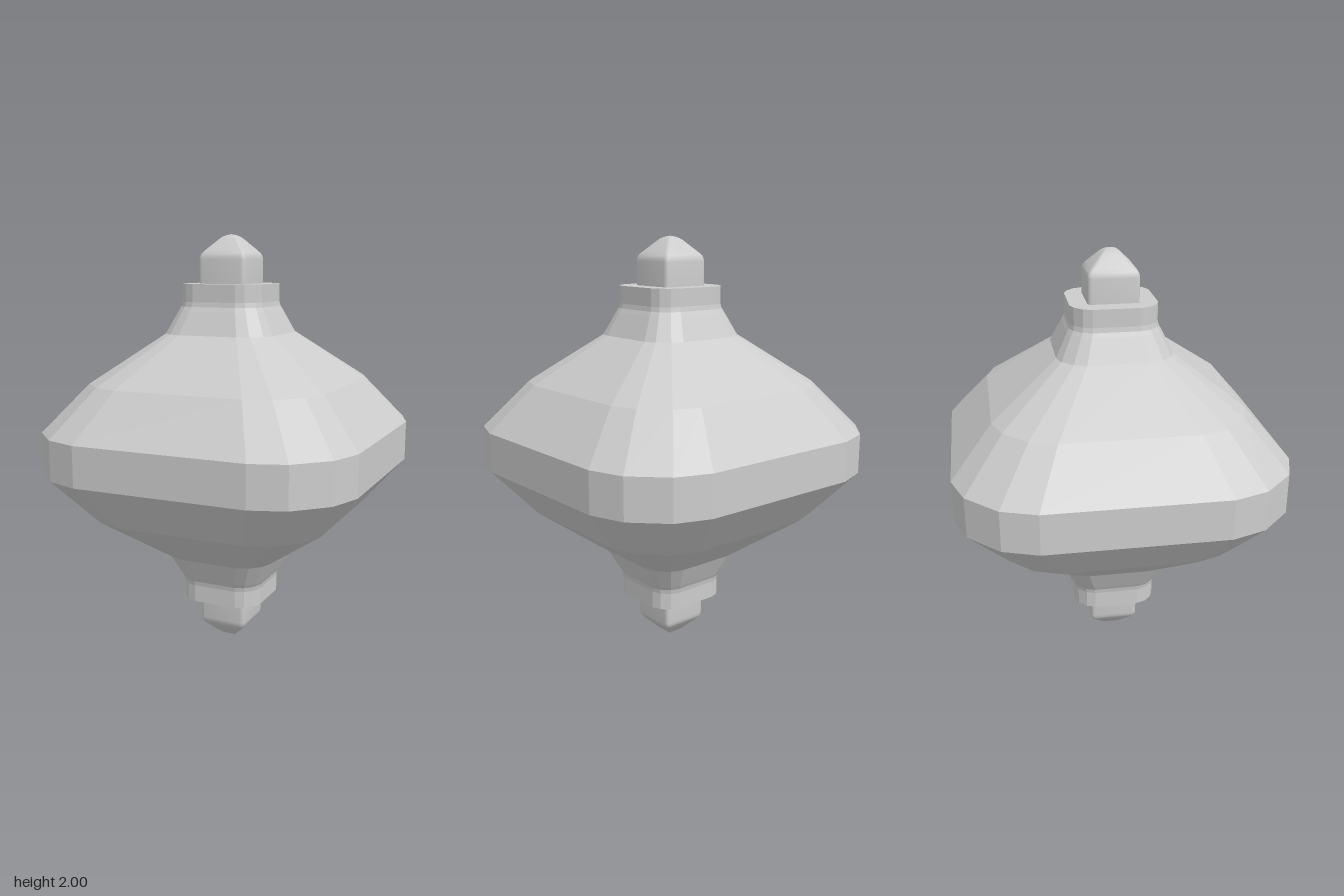
import * as THREE from 'three';
import { toCreasedNormals } from 'three/addons/utils/BufferGeometryUtils.js';

// Repeat one corner outline around the four sides of a unit square
function squareSection(corner) {
  const pts = [];
  for (let k = 0; k < 4; k++) {
    const c = [1, 0, -1, 0][k], s = [0, 1, 0, -1][k];
    for (const [x, z] of corner) pts.push([x * c - z * s, x * s + z * c]);
  }
  return pts;
}

// Stack scaled copies of a section along a profile of [half width, y], bottom to top
function loft(section, profile) {
  const pos = [], n = section.length;
  const point = (j, i) => {
    const [r, y] = profile[j], [x, z] = section[i % n];
    return [x * r, y, z * r];
  };
  for (let j = 0; j < profile.length - 1; j++) {
    for (let i = 0; i < n; i++) {
      const a = point(j, i), b = point(j + 1, i), c = point(j, i + 1), d = point(j + 1, i + 1);
      if (profile[j][0] > 0) pos.push(...a, ...b, ...c);
      if (profile[j + 1][0] > 0) pos.push(...c, ...b, ...d);
    }
  }
  const g = new THREE.BufferGeometry();
  g.setAttribute('position', new THREE.Float32BufferAttribute(pos, 3));
  g.computeVertexNormals();
  return g;
}

export function createModel() {
  const group = new THREE.Group();
  const grey = new THREE.MeshStandardMaterial({ color: 0xcccccc });
  grey.name = 'light grey';
  const add = (name, geometry) => {
    const mesh = new THREE.Mesh(geometry, grey);
    mesh.name = name;
    group.add(mesh);
    return mesh;
  };

  // Faceted body with necks and collars, mirrored about mid height
  const bodySection = squareSection([[1, 0.536], [0.928, 0.745], [0.745, 0.928], [0.536, 1]]);
  const upper = [
    [0.765, 0.095], [0.575, 0.316], [0.268, 0.542],
    [0.215, 0.648], [0.204, 0.668], [0.2, 0.69], [0.2, 0.772], [0, 0.772],
  ];
  const lower = upper.map(([r, y]) => [r, -y]).reverse();
  const profile = [...lower, ...upper].map(([r, y]) => [r, y + 1.001]);
  add('body', loft(bodySection, profile));

  // Square finials with softened pyramid tips
  const corner = [];
  for (let i = 0; i <= 4; i++) {
    const a = (i / 4) * Math.PI / 2;
    corner.push([0.83 + 0.17 * Math.cos(a), 0.83 + 0.17 * Math.sin(a)]);
  }
  const tip = [
    [0.118, 0.77], [0.118, 0.885], [0.116, 0.9], [0.11, 0.912], [0.1, 0.924],
    [0.046, 0.978], [0.034, 0.988], [0.018, 0.996], [0, 1],
  ];
  const finial = (pts) =>
    toCreasedNormals(loft(squareSection(corner), pts.map(([r, y]) => [r, y + 1])), 0.6);
  add('topFinial', finial(tip));
  add('bottomFinial', finial(tip.map(([r, y]) => [r, -y]).reverse()));

  return group;
}
